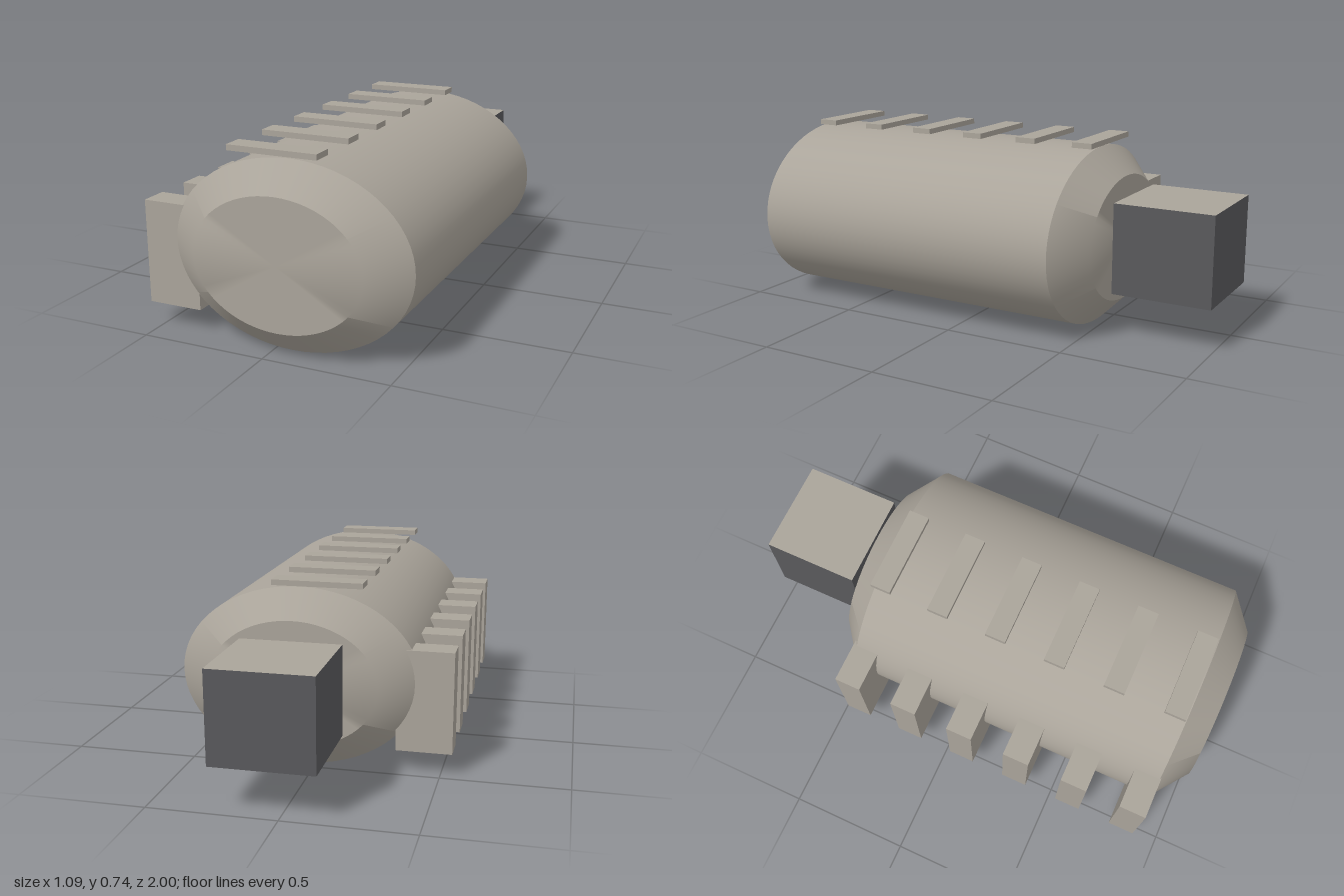
import * as THREE from 'three';
import { toCreasedNormals } from 'three/addons/utils/BufferGeometryUtils.js';

export function createModel() {
  const model = new THREE.Group();
  model.name = 'ribbedCapsule';
  const stone = new THREE.MeshStandardMaterial({ name: 'warm grey', color: 0xaaa49a });
  const dark = new THREE.MeshStandardMaterial({ name: 'dark grey', color: 0x59595c });

  // box given by its limits on each axis
  function addBox(name, [x0, x1], [y0, y1], [z0, z1], material, parent = model) {
    const mesh = new THREE.Mesh(new THREE.BoxGeometry(x1 - x0, y1 - y0, z1 - z0), material);
    mesh.position.set((x0 + x1) / 2, (y0 + y1) / 2, (z0 + z1) / 2);
    mesh.name = name;
    parent.add(mesh);
  }

  // oval body lying along z, with bevelled ends
  const end = 0.697;
  const profile = [
    [0, -0.57], [end, -0.57], [1, -0.46], [1, 0.89], [end, 1], [0, 1],
  ].map(([r, z]) => new THREE.Vector2(r, z));
  const bodyGeometry = new THREE.LatheGeometry(profile, 64);
  bodyGeometry.rotateX(Math.PI / 2);
  bodyGeometry.scale(0.479, 0.36, 1);
  const body = new THREE.Mesh(toCreasedNormals(bodyGeometry, THREE.MathUtils.degToRad(40)), stone);
  body.name = 'body';
  body.position.set(0.064, 0.36, 0);
  model.add(body);

  // six ribs along the side and six thin slats along the top
  const sideRibs = new THREE.Group();
  sideRibs.name = 'sideRibs';
  const topSlats = new THREE.Group();
  topSlats.name = 'topSlats';
  model.add(sideRibs, topSlats);
  for (let i = 0; i < 6; i++) {
    const z = -0.42 + i * 0.252;
    addBox('sideRib', [-0.545, -0.323], [0.09, 0.497], [z - 0.055, z + 0.055], stone, sideRibs);
    addBox('topSlat', [-0.188, 0.172], [0.721, 0.743], [z - 0.043, z + 0.043], stone, topSlats);
  }

  // detached rear block: dark sides, pale top and bottom
  addBox('rearBlock', [-0.14, 0.26], [0.18, 0.54], [-1, -0.6],
    [dark, dark, stone, stone, dark, dark]);

  return model;
}
